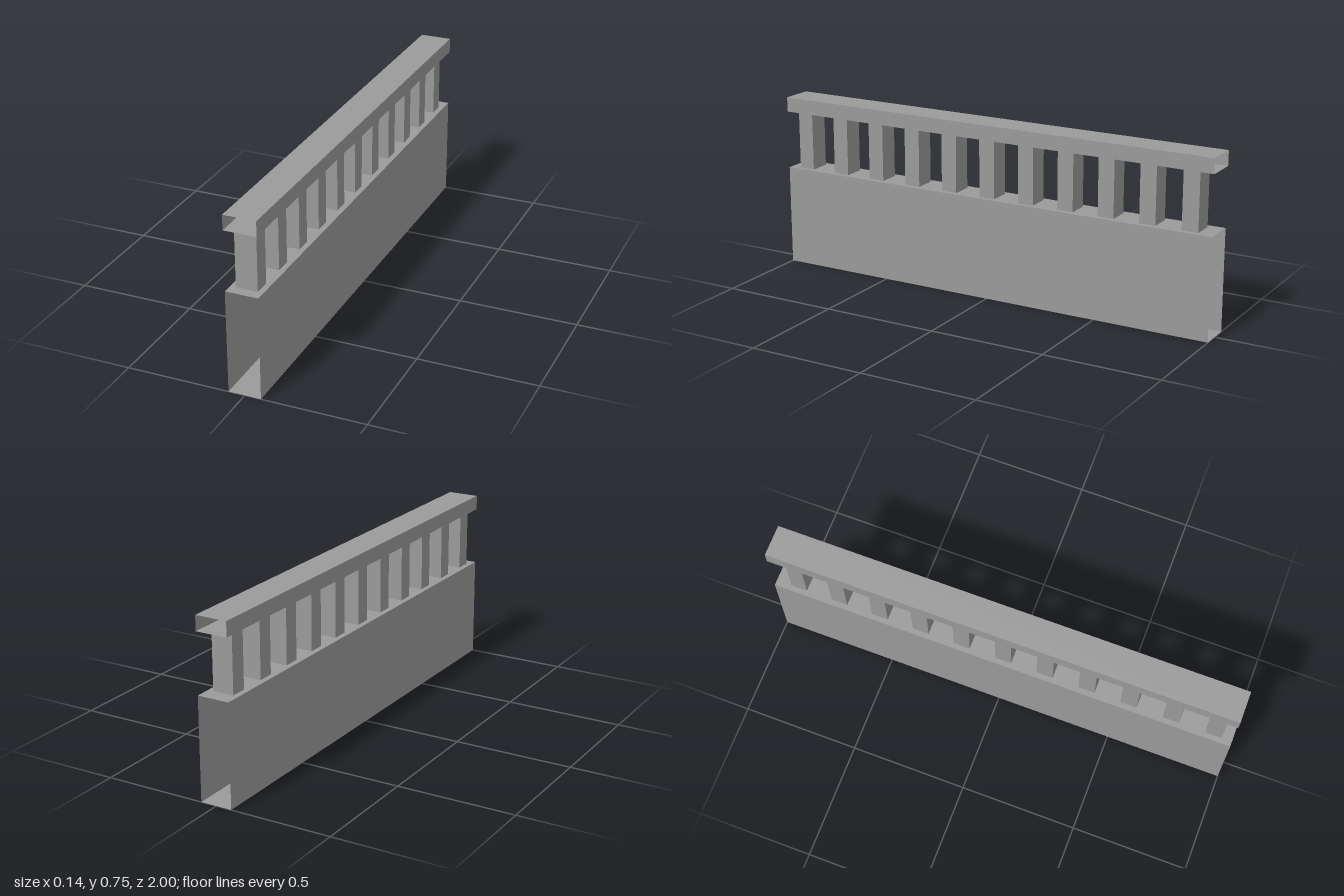
import * as THREE from 'three';

const material = new THREE.MeshStandardMaterial({ color: 0x9a9a9a, flatShading: true, side: THREE.DoubleSide });

// Four-sided box sleeve along z, open at both ends
function sleeve(name, width, bottom, top, length) {
  const box = new THREE.BoxGeometry(width, top - bottom, length);
  // Box faces come as +x, -x, +y, -y, +z, -z with 6 indices each: keep the first four
  box.setIndex(Array.from(box.index.array.slice(0, 24)));
  box.clearGroups();
  const mesh = new THREE.Mesh(box, material);
  mesh.name = name;
  mesh.position.y = (bottom + top) / 2;
  return mesh;
}

export function createModel() {
  const model = new THREE.Group();
  model.name = 'balustrade';

  const baseTop = 0.432, railBottom = 0.683, railTop = 0.746;

  // Parapet wall and handrail
  model.add(sleeve('parapetWall', 0.136, 0, baseTop, 2));
  model.add(sleeve('handrail', 0.136, railBottom, railTop, 2));

  // Row of square balusters
  const balusters = new THREE.Group();
  balusters.name = 'balusters';
  const height = railBottom - baseTop;
  const geometry = new THREE.BoxGeometry(0.09, height, 0.07);
  for (let i = 0; i < 11; i++) {
    const baluster = new THREE.Mesh(geometry, material);
    baluster.name = `baluster${i + 1}`;
    baluster.position.set(0, baseTop + height / 2, 0.921 - i * 0.182);
    balusters.add(baluster);
  }
  model.add(balusters);
  return model;
}
